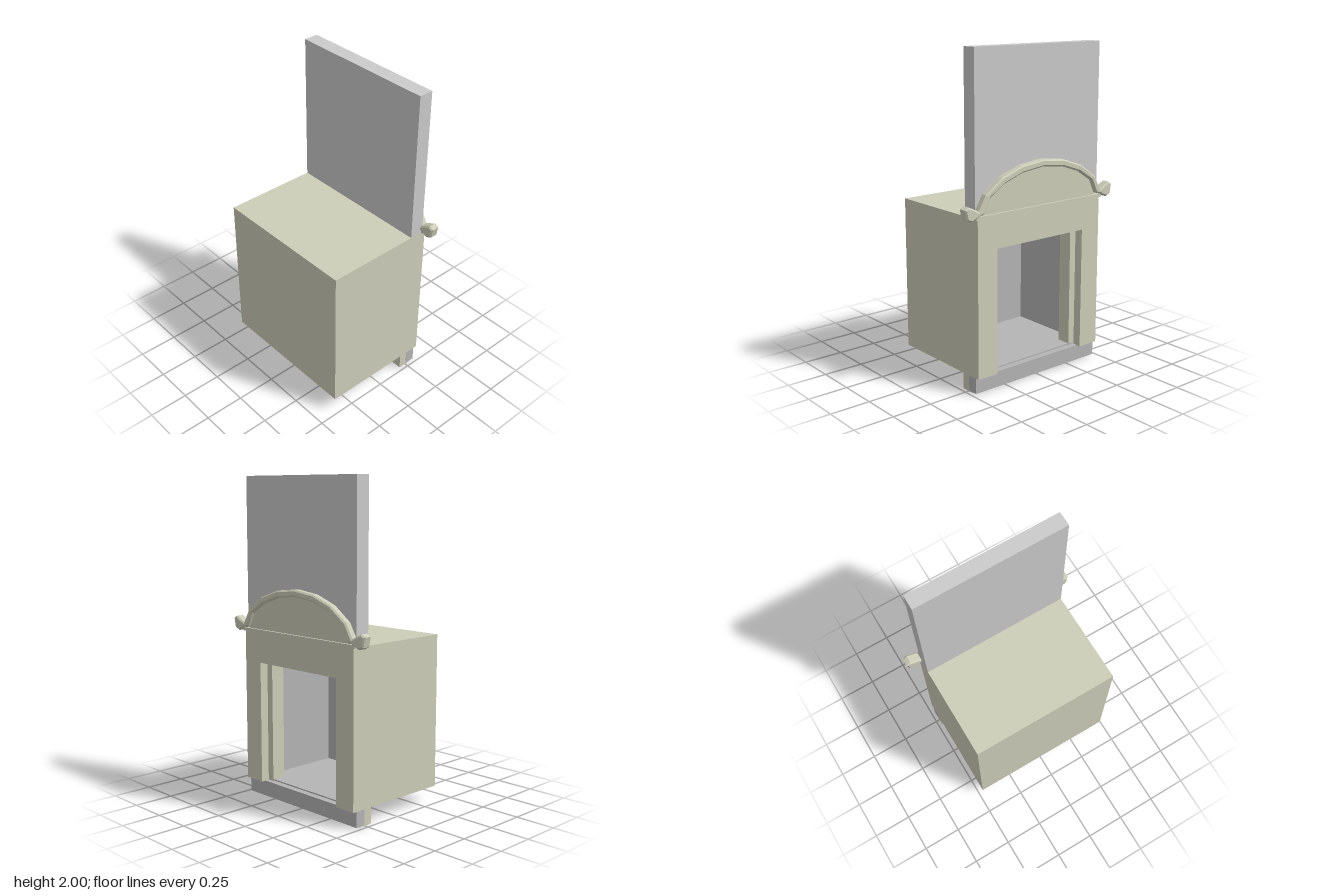
import * as THREE from 'three';

const mat = (color) => new THREE.MeshStandardMaterial({ color, flatShading: true });

export function createModel() {
  const group = new THREE.Group();
  const stone = mat(0xcdceb9), panel = mat(0xcccacb), lining = mat(0xb5b5b6);

  const add = (name, geometry, material) => {
    const mesh = new THREE.Mesh(geometry, material);
    mesh.name = name;
    group.add(mesh);
    return mesh;
  };
  // Box given by its limits on each axis
  const box = (name, material, x0, x1, y0, y1, z0, z1) => {
    const g = new THREE.BoxGeometry(x1 - x0, y1 - y0, z1 - z0);
    g.translate((x0 + x1) / 2, (y0 + y1) / 2, (z0 + z1) / 2);
    return add(name, g, material);
  };
  // Symmetric outline in (z, y), extruded along x
  const slab = (name, material, half, x0, x1, bevel = 0) => {
    const pts = [...half, ...half.map(([z, y]) => [-z, y]).reverse()];
    const shape = new THREE.Shape(pts.map(([z, y]) => new THREE.Vector2(z, y)));
    const g = new THREE.ExtrudeGeometry(shape, {
      depth: x1 - x0 - bevel, bevelEnabled: bevel > 0, bevelThickness: bevel,
      bevelSize: bevel, bevelOffset: -bevel, bevelSegments: 1,
    });
    g.rotateY(Math.PI / 2);
    g.translate(x0, 0, 0);
    return add(name, g, material);
  };

  // Outer shell, open underneath, with the doorway facing +x
  slab('frontWall', stone, [[0.335, 0.865], [0.335, 0.105], [0.475, 0.105], [0.475, 1.055]], 0.29, 0.345);
  box('backWall', stone, -0.37, -0.315, 0.105, 1.055, -0.475, 0.475);
  box('roof', stone, -0.315, 0.29, 1, 1.055, -0.475, 0.475);
  for (const s of [-1, 1]) {
    const side = (name, m, x0, x1, y0, y1, a, b) =>
      box(name, m, x0, x1, y0, y1, Math.min(s * a, s * b), Math.max(s * a, s * b));
    side('sideWall', stone, -0.315, 0.29, 0.105, 1, 0.42, 0.475);
    side('jamb', stone, 0.2, 0.29, 0.005, 0.865, 0.29, 0.474);
    side('liningSide', lining, -0.28, 0.2, 0.12, 0.865, 0.385, 0.42);
  }

  // Grey inner chamber
  box('liningBack', lining, -0.315, -0.28, 0.12, 0.865, -0.42, 0.42);
  box('liningCeiling', lining, -0.315, 0.29, 0.865, 0.9, -0.42, 0.42);
  box('liningFloor', lining, -0.315, 0.29, 0.112, 0.12, -0.42, 0.42);

  // Sill beam below and tall panel above
  box('sill', lining, 0.255, 0.32, 0.01, 0.107, -0.475, 0.475);
  box('tallPanel', panel, 0.23, 0.322, 1.055, 2, -0.475, 0.475);

  // Curved pediment: flat field, ledge and raised arch with upturned ends
  slab('pedimentField', stone,
    [[0.45, 1.055], [0.41, 1.17], [0.3, 1.245], [0.16, 1.3], [0.001, 1.315]], 0.31, 0.338);
  box('pedimentLedge', stone, 0.315, 0.352, 1.052, 1.072, -0.49, 0.49);
  slab('pedimentArch', stone, [
    [0.001, 1.3], [0.155, 1.283], [0.29, 1.237], [0.395, 1.17], [0.435, 1.085], [0.47, 1.075],
    [0.525, 1.05], [0.56, 1.065], [0.572, 1.125], [0.545, 1.14], [0.475, 1.105],
    [0.425, 1.19], [0.305, 1.275], [0.16, 1.325], [0.001, 1.342],
  ], 0.31, 0.363, 0.009);

  return group;
}
